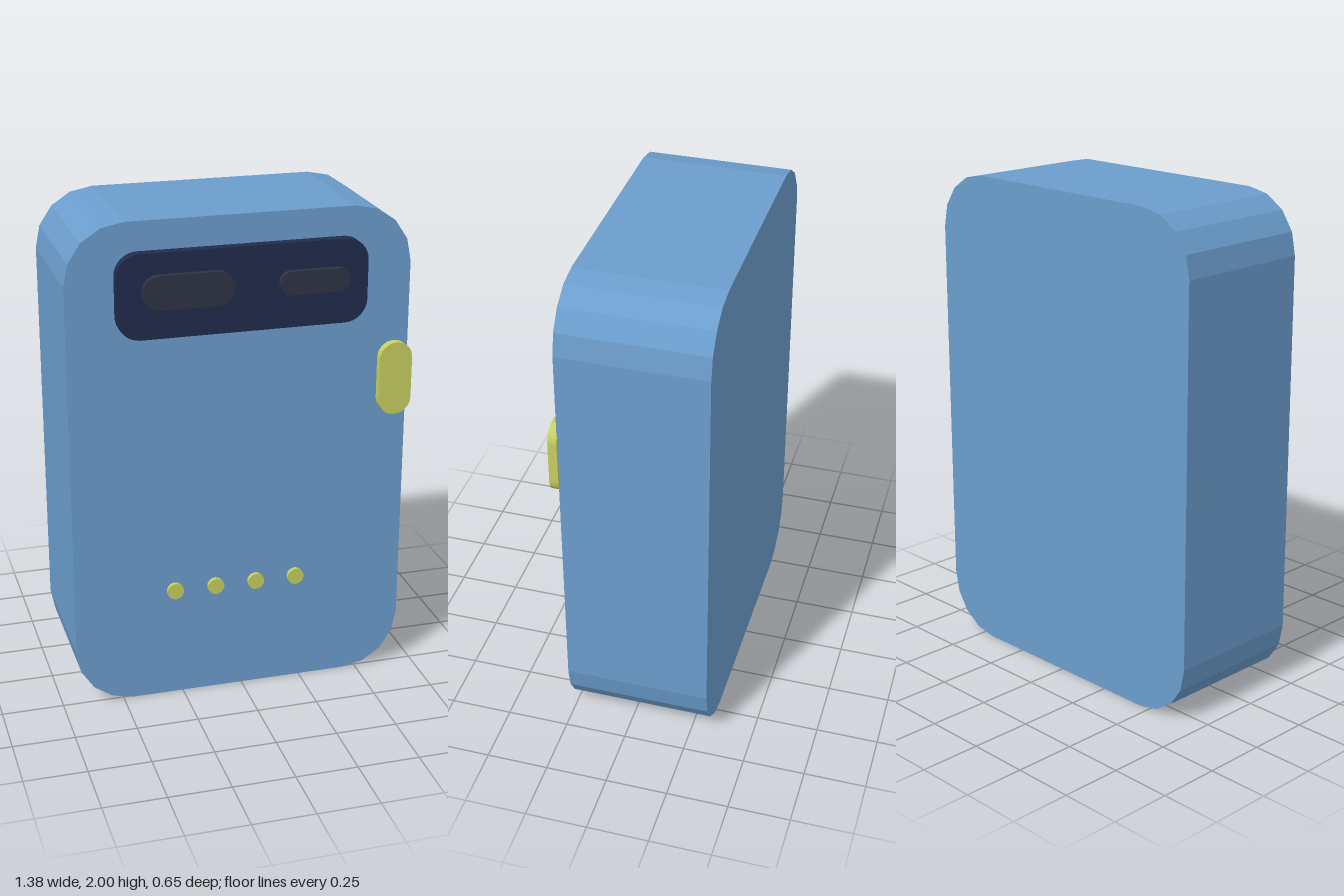
import * as THREE from 'three';

const paint = (name, color) => {
  const m = new THREE.MeshStandardMaterial({ color });
  m.name = name;
  return m;
};

// Upright rounded slab given by its bounds, corner radius and facets per corner
function slab(name, material, [x0, x1], [y0, y1], [z0, z1], r, segments) {
  const s = new THREE.Shape();
  s.absarc(x1 - r, y0 + r, r, -Math.PI / 2, 0);
  s.absarc(x1 - r, y1 - r, r, 0, Math.PI / 2);
  s.absarc(x0 + r, y1 - r, r, Math.PI / 2, Math.PI);
  s.absarc(x0 + r, y0 + r, r, Math.PI, Math.PI * 1.5);
  s.closePath();
  const geometry = new THREE.ExtrudeGeometry(s, {
    depth: z1 - z0, bevelEnabled: false, curveSegments: segments / 2,
  });
  geometry.translate(0, 0, z0);
  const mesh = new THREE.Mesh(geometry, material);
  mesh.name = name;
  return mesh;
}

export function createModel() {
  const blue = paint('body blue', 0x6b9dcc);
  const navy = paint('panel navy', 0x222c4c);
  const charcoal = paint('lens charcoal', 0x2e3444);
  const yellow = paint('accent yellow', 0xc7cf60);

  const model = new THREE.Group();
  model.name = 'pocketDevice';

  // Case with faceted corners
  model.add(slab('body', blue, [-0.69, 0.68], [0, 2], [-0.325, 0.258], 0.235, 4));

  // Sensor panel and its two windows
  model.add(
    slab('sensorPanel', navy, [-0.5, 0.49], [1.55, 1.885], [0.25, 0.3], 0.09, 8),
    slab('largeWindow', charcoal, [-0.405, -0.045], [1.668, 1.802], [0.29, 0.323], 0.066, 8),
    slab('smallWindow', charcoal, [0.132, 0.41], [1.685, 1.778], [0.29, 0.323], 0.045, 8),
  );

  // Side button
  model.add(slab('sideButton', yellow, [0.555, 0.69], [1.145, 1.445], [0.256, 0.292], 0.066, 8));

  // Row of contact dots, standing just off the face
  for (let i = 0; i < 4; i++) {
    const dot = new THREE.Mesh(new THREE.CylinderGeometry(0.034, 0.034, 0.017, 16), yellow);
    dot.name = `contactDot${i + 1}`;
    dot.rotation.x = Math.PI / 2;
    dot.position.set(-0.285 + i * 0.168, 0.477, 0.289);
    model.add(dot);
  }

  return model;
}
